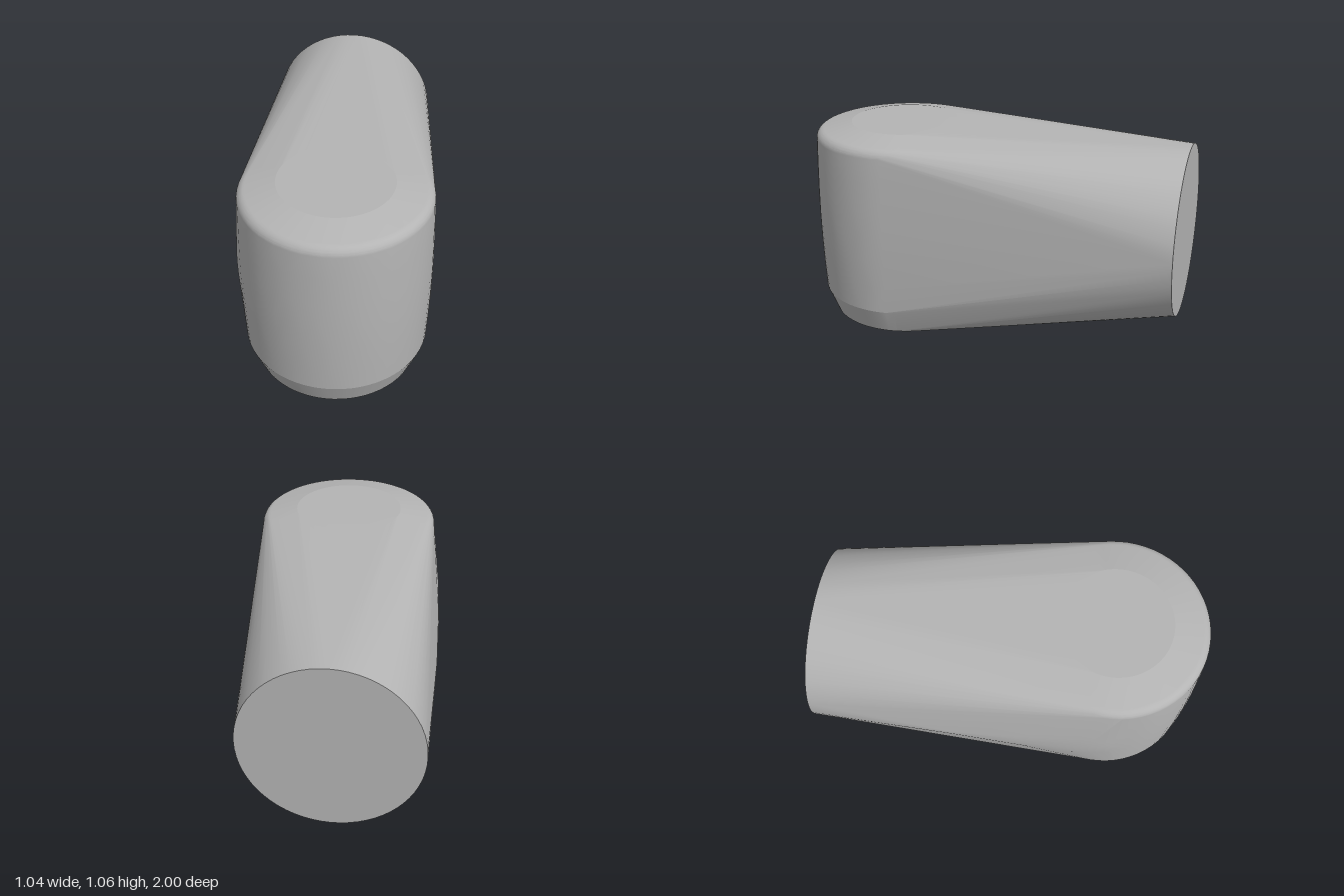
import * as THREE from 'three';
import { ConvexGeometry } from 'three/addons/geometries/ConvexGeometry.js';
import { toCreasedNormals } from 'three/addons/utils/BufferGeometryUtils.js';

const SEGMENTS = 64;

// Upright barrel: radius and height pairs, from the bottom up
function barrelProfile() {
  const profile = [[0.42, 0], [0.471, 0.13], [0.478, 0.27], [0.483, 0.42],
    [0.485, 0.56], [0.484, 0.7], [0.481, 0.85]];
  // rounded shoulder
  for (let i = 0; i <= 10; i++) {
    const a = THREE.MathUtils.degToRad(i * 8);
    profile.push([0.427 + 0.05 * Math.cos(a), 0.977 + 0.05 * Math.sin(a)]);
  }
  profile.push([0.288, 1.056]);
  return profile;
}

export function createModel() {
  const points = [];
  const add = (x, y, z) => points.push(new THREE.Vector3(x, y, z));

  for (const [r, y] of barrelProfile()) {
    for (let i = 0; i < SEGMENTS; i++) {
      const a = (i / SEGMENTS) * Math.PI * 2;
      add(0.035 + r * Math.cos(a), y, 0.51 + r * Math.sin(a));
    }
  }

  // Round end face at the back
  for (let i = 0; i < SEGMENTS; i++) {
    const a = (i / SEGMENTS) * Math.PI * 2;
    add(-0.07 + 0.453 * Math.cos(a), 0.563 + 0.453 * Math.sin(a), -1);
  }

  // Slight swell along the right flank: x, z, half height
  for (const [x, z, h] of [[-0.522, -0.25, 0.04], [-0.51, 0.13, 0.09],
    [-0.492, 0.4, 0.13], [-0.477, 0.5, 0.14], [-0.456, 0.59, 0.15]]) {
    for (let i = -2; i <= 2; i++) {
      const t = i / 2;
      add(x + 0.006 * t * t, 0.56 + h * t, z);
    }
  }

  // One taut skin around the barrel and the round end
  const grey = new THREE.MeshStandardMaterial({ color: 0xb4b4b4 });
  grey.name = 'grey';
  const body = new THREE.Mesh(toCreasedNormals(new ConvexGeometry(points), 0.165), grey);
  body.name = 'body';

  const model = new THREE.Group();
  model.name = 'elbowHousing';
  model.add(body);
  return model;
}
